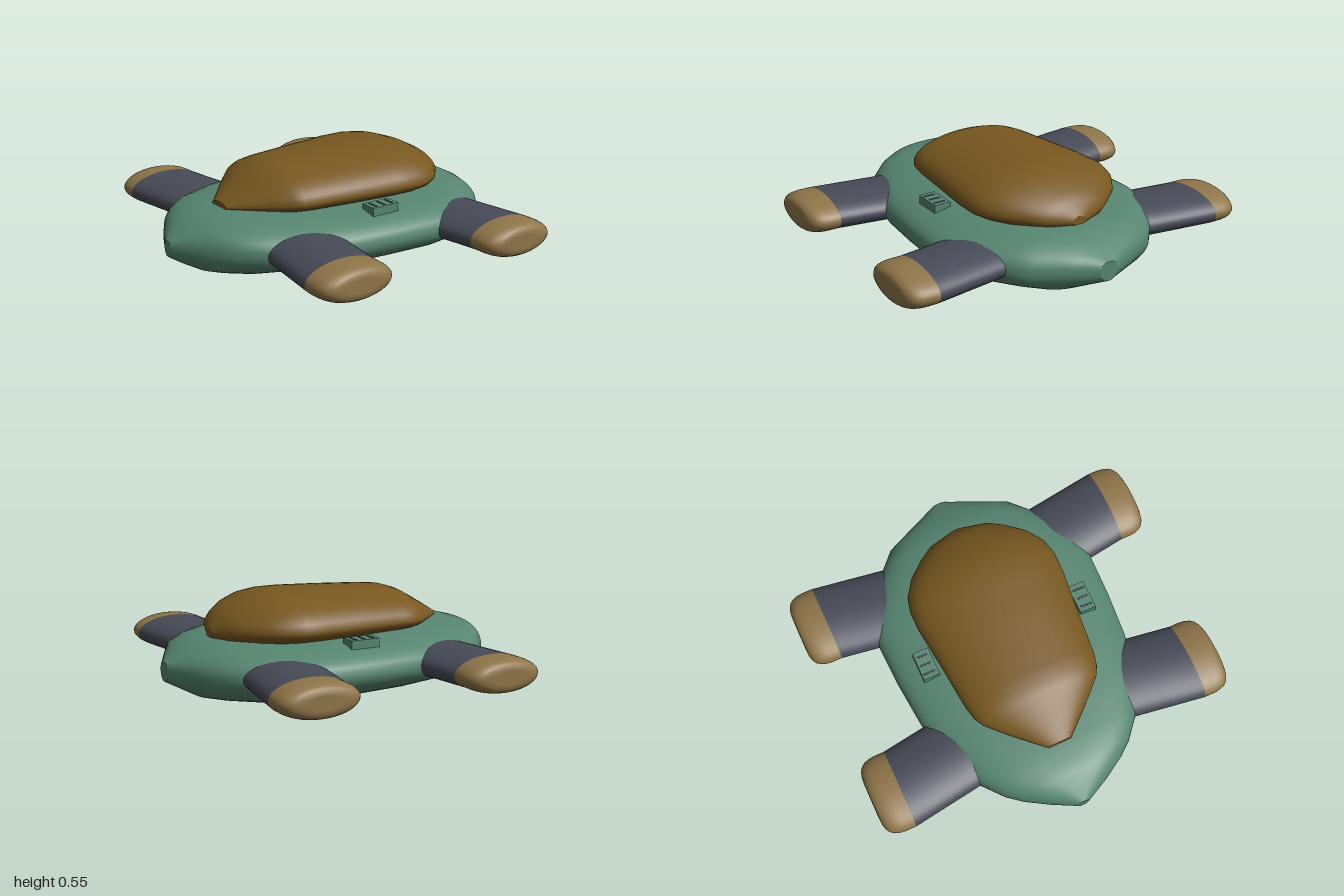
import * as THREE from 'three';

const SEG = 48;

// Smooth skin through a list of rings (arrays of Vector3), closed by flat end caps
function loft(rings) {
  const pos = [], index = [], n = rings[0].length;
  const addRing = (ring) => {
    const start = pos.length / 3;
    ring.forEach((p) => pos.push(p.x, p.y, p.z));
    return start;
  };
  rings.forEach(addRing);
  for (let r = 0; r < rings.length - 1; r++) {
    for (let i = 0; i < n; i++) {
      const a = r * n + i, b = r * n + (i + 1) % n, c = a + n, d = b + n;
      index.push(a, c, b, b, c, d);
    }
  }
  [rings[0], rings[rings.length - 1]].forEach((ring, end) => {
    const start = addRing(ring);
    const mid = ring.reduce((s, p) => s.add(p), new THREE.Vector3()).divideScalar(n);
    const centre = addRing([mid]);
    for (let i = 0; i < n; i++) {
      const a = start + i, b = start + (i + 1) % n;
      index.push(centre, end ? b : a, end ? a : b);
    }
  });
  const geo = new THREE.BufferGeometry();
  geo.setAttribute('position', new THREE.Float32BufferAttribute(pos, 3));
  geo.setIndex(index);
  geo.computeVertexNormals();
  return geo;
}

// Ring in the xy plane: half width, bottom, widest height, top, squareness of the upper half
function hullRing([z, w, bottom, mid, top], power) {
  return Array.from({ length: SEG }, (_, i) => {
    const a = (i / SEG) * Math.PI * 2, c = Math.cos(a), s = Math.sin(a);
    const e = s > 0 ? 2 / power : 1;
    const x = Math.sign(c) * Math.abs(c) ** e * w;
    const y = s > 0 ? mid + s ** e * (top - mid) : mid + s * (mid - bottom);
    return new THREE.Vector3(x, y, z);
  });
}

// Elliptical ring around a pod, which points along x
function podRing(side, x, zc, scale) {
  return Array.from({ length: SEG }, (_, i) => {
    const a = (i / SEG) * Math.PI * 2;
    return new THREE.Vector3(side * x, 0.205 + Math.cos(a) * 0.09 * scale,
      zc - side * Math.sin(a) * 0.217 * scale);
  });
}

export function createModel() {
  const mat = (name, color) => {
    const m = new THREE.MeshStandardMaterial({ color });
    m.name = name;
    return m;
  };
  const green = mat('hull green', 0x568570);
  const amber = mat('canopy amber', 0x785820);
  const charcoal = mat('charcoal', 0x474b57);
  const tan = mat('tan', 0x8f7549);

  const model = new THREE.Group();
  model.name = 'hoverCraft';
  const add = (name, geo, material, parent = model) => {
    const mesh = new THREE.Mesh(geo, material);
    mesh.name = name;
    parent.add(mesh);
    return mesh;
  };

  // Hull sections: z, half width, bottom, widest height, top
  const hull = [
    [0.935, 0.03, 0.14, 0.183, 0.225], [0.87, 0.16, 0.1, 0.187, 0.27],
    [0.795, 0.285, 0.06, 0.19, 0.315], [0.735, 0.36, 0.047, 0.195, 0.33],
    [0.63, 0.45, 0.032, 0.2, 0.347], [0.42, 0.545, 0.02, 0.2, 0.354],
    [0.2, 0.602, 0.012, 0.2, 0.355], [-0.05, 0.625, 0.008, 0.2, 0.355],
    [-0.3, 0.635, 0.005, 0.2, 0.355], [-0.42, 0.615, 0.008, 0.2, 0.354],
    [-0.56, 0.545, 0.018, 0.2, 0.35], [-0.69, 0.45, 0.034, 0.195, 0.338],
    [-0.785, 0.365, 0.053, 0.19, 0.312], [-0.87, 0.19, 0.098, 0.186, 0.27],
    [-0.935, 0.05, 0.132, 0.183, 0.235],
  ];
  add('hull', loft(hull.map((s) => hullRing(s, 2.5))), green);

  // Canopy sections, blunt at the nose and rounded at the tail
  const canopy = [
    [0.63, 0.065, 0.335, 0.352, 0.372], [0.55, 0.155, 0.33, 0.362, 0.42],
    [0.46, 0.255, 0.32, 0.375, 0.472], [0.39, 0.325, 0.31, 0.385, 0.51],
    [0.34, 0.352, 0.305, 0.388, 0.527], [0.27, 0.368, 0.3, 0.39, 0.535],
    [0, 0.395, 0.29, 0.393, 0.55], [-0.22, 0.42, 0.29, 0.395, 0.559],
    [-0.33, 0.422, 0.29, 0.395, 0.559], [-0.42, 0.4, 0.295, 0.393, 0.547],
    [-0.51, 0.34, 0.3, 0.39, 0.517], [-0.59, 0.25, 0.31, 0.385, 0.477],
    [-0.64, 0.18, 0.32, 0.375, 0.443], [-0.685, 0.04, 0.335, 0.355, 0.38],
  ];
  add('canopy', loft(canopy.map((s) => hullRing(s, 2))), amber);

  // Four pods: a charcoal arm and a rounded tan tip
  const tipProfile = [[0.84, 1], [0.9, 1], [0.93, 0.98], [0.955, 0.94],
    [0.975, 0.87], [0.99, 0.76], [0.998, 0.62], [1, 0.45]];
  for (const side of [1, -1]) {
    for (const [name, rootZ, tipZ] of [['front', 0.4, 0.472], ['rear', -0.47, -0.542]]) {
      const pod = new THREE.Group();
      pod.name = `${name}${side > 0 ? 'Left' : 'Right'}Pod`;
      model.add(pod);
      add('podArm', loft([podRing(side, 0.36, rootZ, 1), podRing(side, 0.84, tipZ, 1)]),
        charcoal, pod);
      add('podTip', loft(tipProfile.map(([x, k]) => podRing(side, x, tipZ, k))), tan, pod);
    }

    // Side vent with three dark slots
    const vent = new THREE.Group();
    vent.name = side > 0 ? 'leftVent' : 'rightVent';
    vent.position.set(side * 0.455, 0.333, -0.052);
    model.add(vent);
    add('ventPlate', new THREE.BoxGeometry(0.09, 0.046, 0.16), green, vent);
    for (const z of [-0.05, 0, 0.05]) {
      add('ventSlot', new THREE.BoxGeometry(0.062, 0.006, 0.011), charcoal, vent)
        .position.set(side * 0.003, 0.0225, z);
    }
  }
  return model;
}
